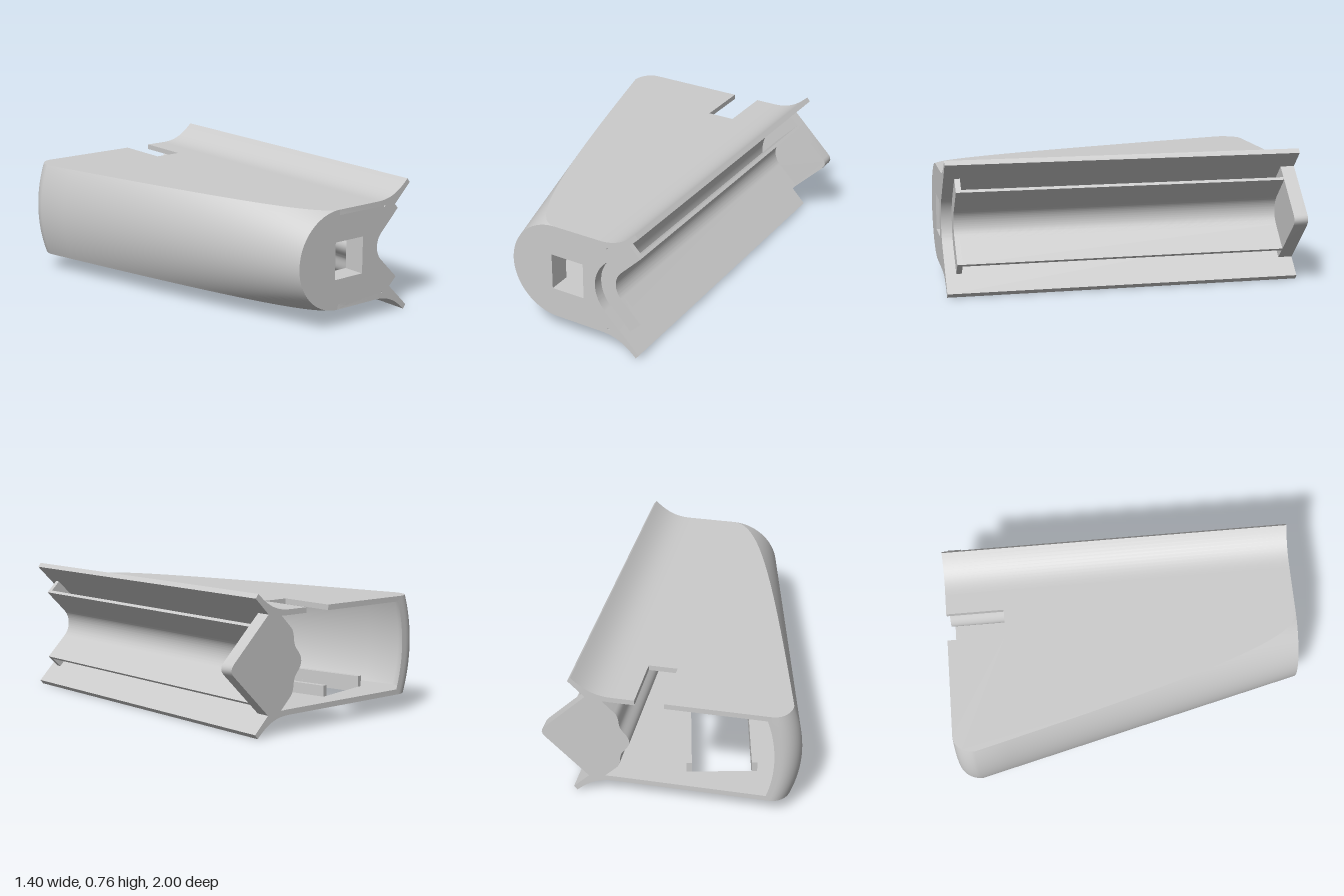
import * as THREE from 'three';
import { toCreasedNormals } from 'three/addons/utils/BufferGeometryUtils.js';

const C = 0.378;   // mid height
const H = 0.28;    // half height of the housing
const T = 0.03;    // wall thickness
const VX = 0.475;  // centre of the V channel's round root

const material = new THREE.MeshStandardMaterial({ color: 0xcccccc, side: THREE.DoubleSide });

function part(group, name, geometry) {
  const mesh = new THREE.Mesh(toCreasedNormals(geometry, 0.5), material);
  mesh.name = name;
  group.add(mesh);
  return mesh;
}

const toShape = pts => new THREE.Shape(pts.map(([x, y]) => new THREE.Vector2(x, y)));
const toPath = pts => new THREE.Path(pts.map(([x, y]) => new THREE.Vector2(x, y)));
const flip = pts => pts.map(([x, y]) => [x, 2 * C - y]).reverse();

// Extrude an x-y profile from z0 to z1
function alongZ(shape, z0, z1) {
  const g = new THREE.ExtrudeGeometry(shape, { depth: z1 - z0, bevelEnabled: false });
  return g.translate(0, 0, z0);
}

// V with a round root, from its upper arm end to its lower arm end
function vCurve(r, arm, wave = 0) {
  const pts = [], n = 32, k = Math.SQRT1_2;
  for (let i = 0; i <= n; i++) {
    const a = Math.PI / 4 - (i / n) * Math.PI / 2;
    const q = r + wave * Math.cos(8 * a);
    pts.push([VX - q * Math.cos(a), C + q * Math.sin(a)]);
  }
  const [ex, ey] = pts[0];
  const end = [ex + arm * k, ey + arm * k];
  return [end, ...pts, [end[0], 2 * C - end[1]]];
}

// Tapered side: outermost x, bulge radius and start of the flat faces at z
function sideX(z) {
  if (z > -0.88) return -0.26 - 0.234 * (1 - z);
  const s = Math.min(1, (-0.88 - z) / 0.12);
  return -0.7 + 0.1 * (1 - Math.sqrt(1 - s * s));
}
const bulgeR = z => H + 0.27 * (1 - z);
const flatX = z => sideX(z) + bulgeR(z) - Math.sqrt(Math.max(0, bulgeR(z) ** 2 - H * H));

const stations = [];
for (let i = 0; i <= 20; i++) stations.push(1 - 1.88 * (i / 20) ** 2);
for (let j = 1; j <= 10; j++) stations.push(-0.88 - 0.12 * Math.sin((j / 10) * Math.PI / 2));

// Arc of the rounded side at z, top to bottom
function sideArc(z, inset, n) {
  const R = bulgeR(z), r = R - inset, a = Math.asin(Math.min(1, (H - inset) / r));
  return Array.from({ length: n + 1 }, (_, i) => {
    const t = a * (1 - 2 * i / n);
    return [sideX(z) + R - r * Math.cos(t), C + r * Math.sin(t)];
  });
}

// Rounded side wall lofted through closed rings
function sideWall() {
  const n = 32, m = 2 * (n + 1), pos = [], idx = [];
  for (const z of stations)
    for (const [x, y] of [...sideArc(z, 0, n), ...sideArc(z, T, n).reverse()]) pos.push(x, y, z);
  for (let s = 0; s < stations.length - 1; s++)
    for (let k = 0; k < m; k++) {
      const a = s * m + k, b = s * m + (k + 1) % m;
      idx.push(a, a + m, b, b, a + m, b + m);
    }
  const o = (stations.length - 1) * m;
  for (let k = 0; k < n; k++) {
    const a = o + k, d = o + m - 1 - k;
    idx.push(a, d, d - 1, a, d - 1, a + 1);
  }
  const g = new THREE.BufferGeometry();
  g.setAttribute('position', new THREE.Float32BufferAttribute(pos, 3));
  g.setIndex(idx);
  return g;
}

// Flat plate whose edge follows the taper
function plate(y, notch, hole) {
  const outline = stations.map(z => [flatX(z), z]).concat(notch, [[0.33, -1], [0.33, 1]]);
  const shape = toShape(outline.map(([x, z]) => [x, -z]));
  if (hole) shape.holes.push(toPath(hole.map(([x, z]) => [x, -z])));
  const g = new THREE.ExtrudeGeometry(shape, { depth: T, bevelEnabled: false });
  return g.rotateX(-Math.PI / 2).translate(0, y, 0);
}

export function createModel() {
  const model = new THREE.Group();
  model.name = 'taperedHousing';

  // Hollow housing: notched top, windowed bottom, rounded side
  part(model, 'topPlate', plate(C + H - T, [[0.02, -1], [0.02, -0.67], [0.18, -0.67], [0.18, -1]]));
  const window = [[0.11, 0.08], [-0.1, -0.875], [-0.42, -0.805], [-0.21, 0.15]];
  part(model, 'bottomPlate', plate(C - H, [], window));
  part(model, 'roundedSideWall', sideWall());

  // Raised rims along the bottom window
  for (const [x, z] of [[0.02, -0.4], [-0.33, -0.325]]) {
    const rim = part(model, 'windowRim', new THREE.BoxGeometry(0.03, 0.09, 0.98));
    rim.position.set(x, C - H + 0.046, z);
    rim.rotation.y = 0.216;
  }

  // Front wall with square opening
  const front = toShape([...sideArc(1, 0, 40), [0.34, C - H], ...vCurve(0.215, 0.05).reverse(), [0.34, C + H]]);
  front.holes.push(toPath([[-0.005, 0.27], [0.195, 0.27], [0.195, 0.48], [-0.005, 0.48]]));
  part(model, 'frontWall', alongZ(front, 0.87, 1));

  // Forked V channel with flared lips and a rippled inner face
  const flare = new THREE.CubicBezierCurve(
    new THREE.Vector2(0.3, C + H), new THREE.Vector2(0.39, C + H),
    new THREE.Vector2(0.45, 0.685), new THREE.Vector2(0.522, 2 * C)
  ).getPoints(12).map(p => [p.x, p.y]);
  const inner = vCurve(0.245, 0.095, 0.015);
  part(model, 'forkedChannel', alongZ(toShape([
    ...flare, ...vCurve(0.205, 0.297), ...flip(flare),
    [0.3, C - H + T], ...inner.reverse(), [0.3, C + H - T]
  ]), -1, 1));

  // Trough lining held by a rib at each end
  const lining = (rOut, z0, z1, name) =>
    part(model, name, alongZ(toShape([...vCurve(rOut, 0.17), ...vCurve(0.113, 0.17).reverse()]), z0, z1));
  lining(0.131, -0.96, 0.94, 'troughLining');
  lining(0.206, 0.91, 0.94, 'frontRib');
  lining(0.206, -1, -0.96, 'backRib');

  // Diamond end stop
  const tip = [[0.688, C - 0.03], [0.698, C - 0.016], [0.702, C], [0.698, C + 0.016], [0.688, C + 0.03]];
  part(model, 'endStop', alongZ(toShape([...vCurve(0.206, 0.17), ...tip]), -1, -0.92));

  return model;
}
